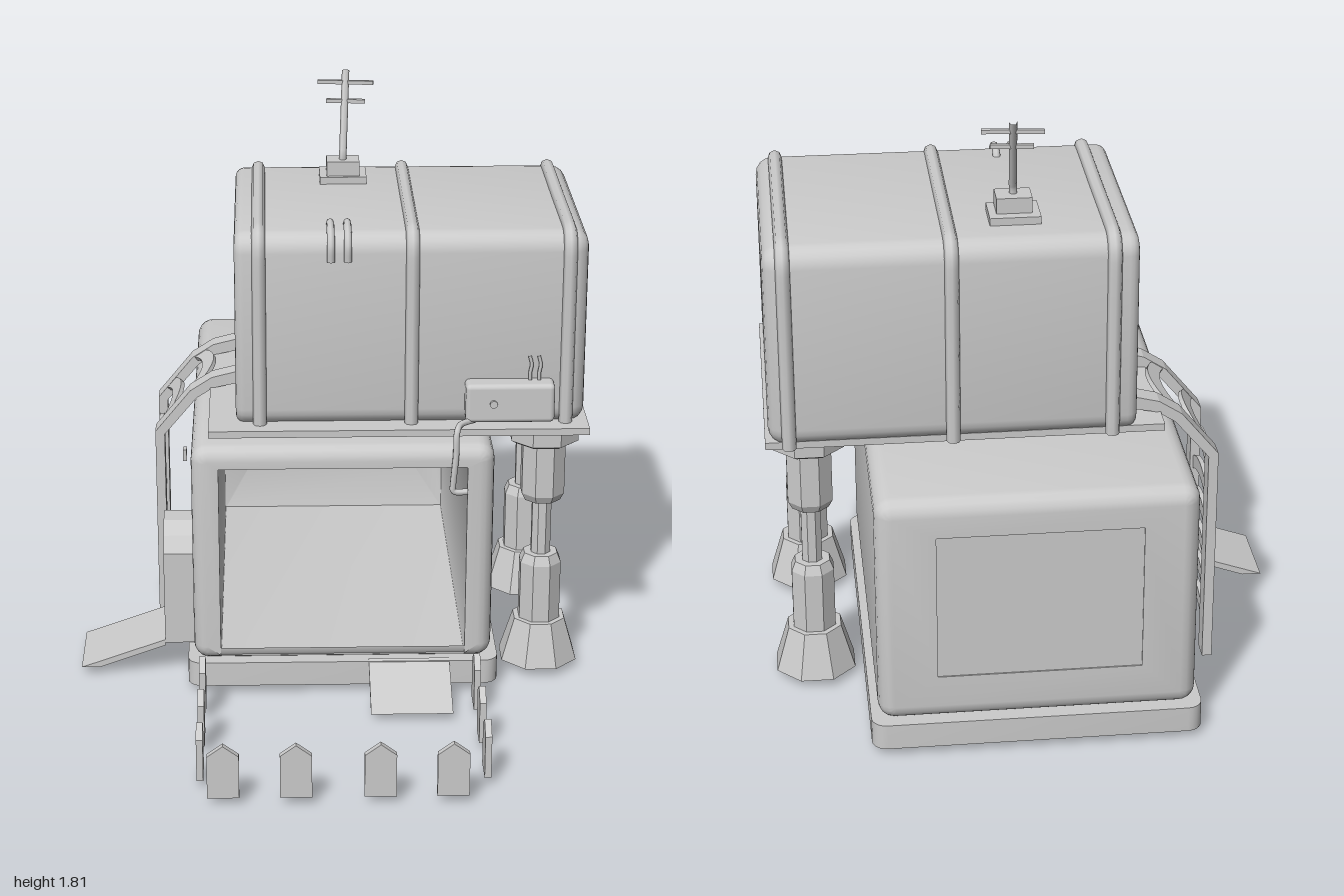
import * as THREE from 'three';
import { toCreasedNormals } from 'three/addons/utils/BufferGeometryUtils.js';
import { RoundedBoxGeometry } from 'three/addons/geometries/RoundedBoxGeometry.js';

const mat = new THREE.MeshStandardMaterial({ color: 0xcccccc });
const flat = new THREE.MeshStandardMaterial({ color: 0xcccccc, flatShading: true });

// Rounded rectangle [u0, u1, v0, v1, r] as a counter-clockwise list of points
const SEG = 5;
function roundRect([u0, u1, v0, v1, r]) {
  const pts = [];
  const corners = [[u1 - r, v1 - r], [u0 + r, v1 - r], [u0 + r, v0 + r], [u1 - r, v0 + r]];
  corners.forEach(([u, v], q) => {
    for (let k = 0; k <= SEG; k++) {
      const a = (q + k / SEG) * Math.PI / 2;
      pts.push([u + r * Math.cos(a), v + r * Math.sin(a)]);
    }
  });
  return pts;
}
const inset = ([a, b, c, d, r], i) => [a + i, b - i, c + i, d - i, Math.max(r - i, 0.002)];
const centre = ([a, b, c, d]) => [(a + b) / 2, (a + b) / 2, (c + d) / 2, (c + d) / 2, 0];

// Rounded-over end: rings growing from an inset face to the full outline
function startEdge(rect, d, b, n = 4) {
  return Array.from({ length: n + 1 }, (_, k) => {
    const a = k / n * Math.PI / 2;
    return [d + b * (1 - Math.cos(a)), inset(rect, b * (1 - Math.sin(a)))];
  });
}
const endEdge = (rect, d, b) => startEdge(rect, 0, b).map(([k, r]) => [d - k, r]).reverse();

// Skin a list of rings [depth, rect] along an axis
function loft(rings, axis) {
  const pos = [], idx = [], n = 4 * (SEG + 1);
  for (const [d, rect] of rings) {
    for (const [u, v] of roundRect(rect)) {
      pos.push(...(axis === 'z' ? [u, v, d] : axis === 'x' ? [d, u, v] : [v, d, u]));
    }
  }
  for (let i = 0; i < rings.length - 1; i++) {
    for (let j = 0; j < n; j++) {
      const a = i * n + j, b = i * n + (j + 1) % n;
      idx.push(a, b, b + n, a, b + n, a + n);
    }
  }
  const g = new THREE.BufferGeometry();
  g.setAttribute('position', new THREE.Float32BufferAttribute(pos, 3));
  g.setIndex(idx);
  return toCreasedNormals(g, 0.6);
}

// Extruded polygon with an optional hole
function plate(points, depth, hole) {
  const shape = new THREE.Shape(points.map(p => new THREE.Vector2(...p)));
  if (hole) shape.holes.push(new THREE.Path(hole.map(p => new THREE.Vector2(...p))));
  return new THREE.ExtrudeGeometry(shape, { depth, bevelEnabled: false });
}
// Same, with the polygon drawn in z,y and the extrusion ending at x
const sidePlate = (points, depth, x, hole) => plate(points, depth, hole).rotateY(-Math.PI / 2).translate(x, 0, 0);

function tube(points, radius, segs = 40, sides = 8) {
  const curve = new THREE.CatmullRomCurve3(points.map(p => new THREE.Vector3(...p)));
  return new THREE.TubeGeometry(curve, segs, radius, sides);
}

export function createModel() {
  const model = new THREE.Group();
  const add = (name, geo, x = 0, y = 0, z = 0, m = mat) => {
    const mesh = new THREE.Mesh(geo, m);
    mesh.name = name;
    mesh.position.set(x, y, z);
    model.add(mesh);
    return mesh;
  };
  const box = (name, w, h, d, x, y, z) => add(name, new THREE.BoxGeometry(w, h, d), x, y, z);

  // Lower module: plinth hollow underneath, open-fronted shell with a shallow back panel
  const foot = [-1, 0.285, -0.454, 0.526, 0.045];
  const hollow = inset(foot, 0.05);
  add('plinth', loft([[0.1, centre(hollow)], [0.1, hollow], [0.025, hollow], [0.025, foot],
    [0.105, foot], [0.105, centre(foot)]], 'y'));
  const body = [-0.435, 0.505, 0.102, 0.825, 0.05];
  const panel = [-0.27, 0.33, 0.25, 0.71, 0.002];
  const room = [-0.35, 0.42, 0.12, 0.757, 0.003];
  add('lowerShell', loft([[-0.977, centre(panel)], [-0.977, panel], [-0.981, panel],
    ...startEdge(body, -0.981, 0.05), ...endEdge(body, 0.265, 0.045),
    [0.265, room], [-0.92, room], [-0.95, panel], [-0.95, centre(panel)]], 'z'));

  // Upper module: sleeve open on the right, window on the left
  const cabin = [0.846, 1.472, -0.65, 0.147, 0.06];
  const hall = [0.88, 1.425, -0.595, 0.095, 0.03];
  const win = [1.07, 1.36, -0.47, -0.04, 0.002];
  add('upperShell', loft([[0.77, hall], [-0.29, hall], ...startEdge(cabin, -0.295, 0.03),
    ...endEdge(cabin, 0.79, 0.05), [0.79, win], [0.77, win], [0.77, hall]], 'x'));
  box('platform', 1.18, 0.022, 0.84, 0.21, 0.85, -0.21);

  // Ribs wrapped over the upper module
  const outline = roundRect(cabin);
  const frontArc = outline.slice(0, SEG + 1), rearArc = outline.slice(3 * (SEG + 1));
  for (const x of [-0.22, 0.25, 0.73]) {
    const path = [[x, 0.85, -0.65], [x, 1.1, -0.65], ...rearArc.map(([y, z]) => [x, y, z]),
      [x, 1.472, -0.25], ...frontArc.map(([y, z]) => [x, y, z]), [x, 1.1, 0.147], [x, 0.85, 0.147]];
    add('rib', tube(path, 0.021, 90));
  }

  // Telescopic octagonal legs, open underneath
  const legProfile = [[0.12, 0.025], [0.08, 0.165], [0.064, 0.165], [0.064, 0.36], [0.052, 0.39],
    [0.03, 0.39], [0.03, 0.575], [0.055, 0.575], [0.067, 0.6], [0.067, 0.775], [0.09, 0.775], [0.105, 0.785],
    [0.105, 0.84], [0, 0.84]];
  for (const z of [0.075, -0.485]) {
    const pts = legProfile.map(([r, y]) => new THREE.Vector2(r / Math.cos(Math.PI / 8), y));
    add('supportLeg', new THREE.LatheGeometry(pts, 8).rotateY(Math.PI / 8), 0.672, 0, z, flat);
  }

  // Roof aerial with a kinked mast
  box('aerialPad', 0.15, 0.03, 0.125, 0.053, 1.48, -0.46);
  box('aerialBlock', 0.105, 0.05, 0.08, 0.053, 1.517, -0.45);
  add('aerialMast', tube([[0.052, 1.53, -0.445], [0.053, 1.56, -0.447], [0.054, 1.575, -0.453],
    [0.055, 1.6, -0.465], [0.06, 1.7, -0.513], [0.065, 1.805, -0.565]], 0.012, 30, 6));
  for (const [w, y, z] of [[0.18, 1.77, -0.548], [0.125, 1.715, -0.521]]) {
    box('aerialBar', w, 0.012, 0.014, 0.064, y, z).rotation.y = -0.1;
  }

  // Two grab hooks over the front roof edge
  for (const x of [0, 0.052]) {
    add('roofHook', tube([[x, 1.465, 0.03], [x, 1.482, 0.045], [x, 1.482, 0.09], [x, 1.467, 0.135],
      [x, 1.44, 0.156], [x, 1.39, 0.156]], 0.012));
  }

  // Utility unit with knob, whiskers and hose
  add('utilityUnit', new RoundedBoxGeometry(0.275, 0.125, 0.075, 3, 0.015), 0.552, 0.943, 0.173);
  add('unitKnob', new THREE.CylinderGeometry(0.012, 0.012, 0.012, 12).rotateX(Math.PI / 2), 0.5, 0.945, 0.213);
  for (const x of [0.615, 0.643]) {
    add('unitWhisker', tube([[x, 0.99, 0.16], [x, 1.03, 0.16], [x + 0.004, 1.055, 0.16],
      [x - 0.003, 1.085, 0.16]], 0.006, 16, 6));
  }
  add('unitHose', tube([[0.44, 0.885, 0.19], [0.4, 0.885, 0.225], [0.385, 0.875, 0.262], [0.382, 0.8, 0.272],
    [0.374, 0.7, 0.272], [0.374, 0.685, 0.272], [0.382, 0.679, 0.272], [0.42, 0.679, 0.272]], 0.01, 60));

  // Ladder: two bent rails with arched rungs lying in the plane of the rails
  const rail = [[-0.295, 0.915], [-0.375, 0.895], [-0.445, 0.85], [-0.56, 0.71], [-0.56, 0], [-0.53, 0],
    [-0.53, 0.7], [-0.425, 0.825], [-0.37, 0.86], [-0.295, 0.875]];
  for (const z of [-0.55, -0.24]) add('ladderRail', plate(rail, 0.065), 0, 0, z);
  const rung = new THREE.Shape();
  rung.moveTo(-0.125, 0);
  rung.quadraticCurveTo(0, 0.07, 0.125, 0);
  rung.lineTo(0.125, 0.045);
  rung.quadraticCurveTo(0, 0.115, -0.125, 0.045);
  const rungGeo = new THREE.ExtrudeGeometry(rung, { depth: 0.014, bevelEnabled: false, curveSegments: 8 })
    .rotateY(-Math.PI / 2);
  const steps = Array.from({ length: 6 }, (_, i) => [-0.54, 0.07 + i * 0.107, 0]);
  for (const [x, y, tilt] of [...steps, [-0.52, 0.735, -0.69], [-0.43, 0.84, -0.98]]) {
    add('ladderRung', rungGeo, x, y, -0.362).rotation.z = tilt;
  }

  // Side hatch: arched hood, recessed door, ramp and lamp
  const hood = [[-0.105, 0.11], [0.145, 0.11], [0.145, 0.42], [0.11, 0.468], [0.06, 0.5],
    [-0.02, 0.5], [-0.07, 0.468], [-0.105, 0.42]];
  const doorway = hood.map(([z, y]) => [0.02 + (z - 0.02) * 0.8, 0.3 + (y - 0.3) * 0.87]);
  add('hatchHood', sidePlate(hood, 0.1, -0.43, doorway));
  add('hatchDoor', sidePlate(doorway, 0.08, -0.43));
  add('hatchRamp', plate([[-0.53, 0.12], [-0.8, 0.025], [-0.74, 0.025], [-0.53, 0.1]], 0.255), 0, 0, -0.11);
  box('wallLamp', 0.012, 0.04, 0.03, -0.472, 0.555, -0.36);

  // Front ramp
  add('frontRamp', sidePlate([[0.27, 0.108], [0.27, 0.09], [0.45, 0.025], [0.49, 0.025]], 0.255, 0.372));

  // Picket fence
  const picket = plate([[-0.047, 0.025], [0.047, 0.025], [0.047, 0.16], [0, 0.195], [-0.047, 0.16]], 0.02)
    .translate(0, 0, -0.01);
  for (const x of [-0.335, -0.122, 0.125, 0.338]) add('picket', picket, x, 0, 0.988);
  for (const x of [-0.405, 0.447]) {
    for (const z of [0.418, 0.635, 0.848]) add('picket', picket, x, 0, z).rotation.y = Math.PI / 2;
  }
  return model;
}
